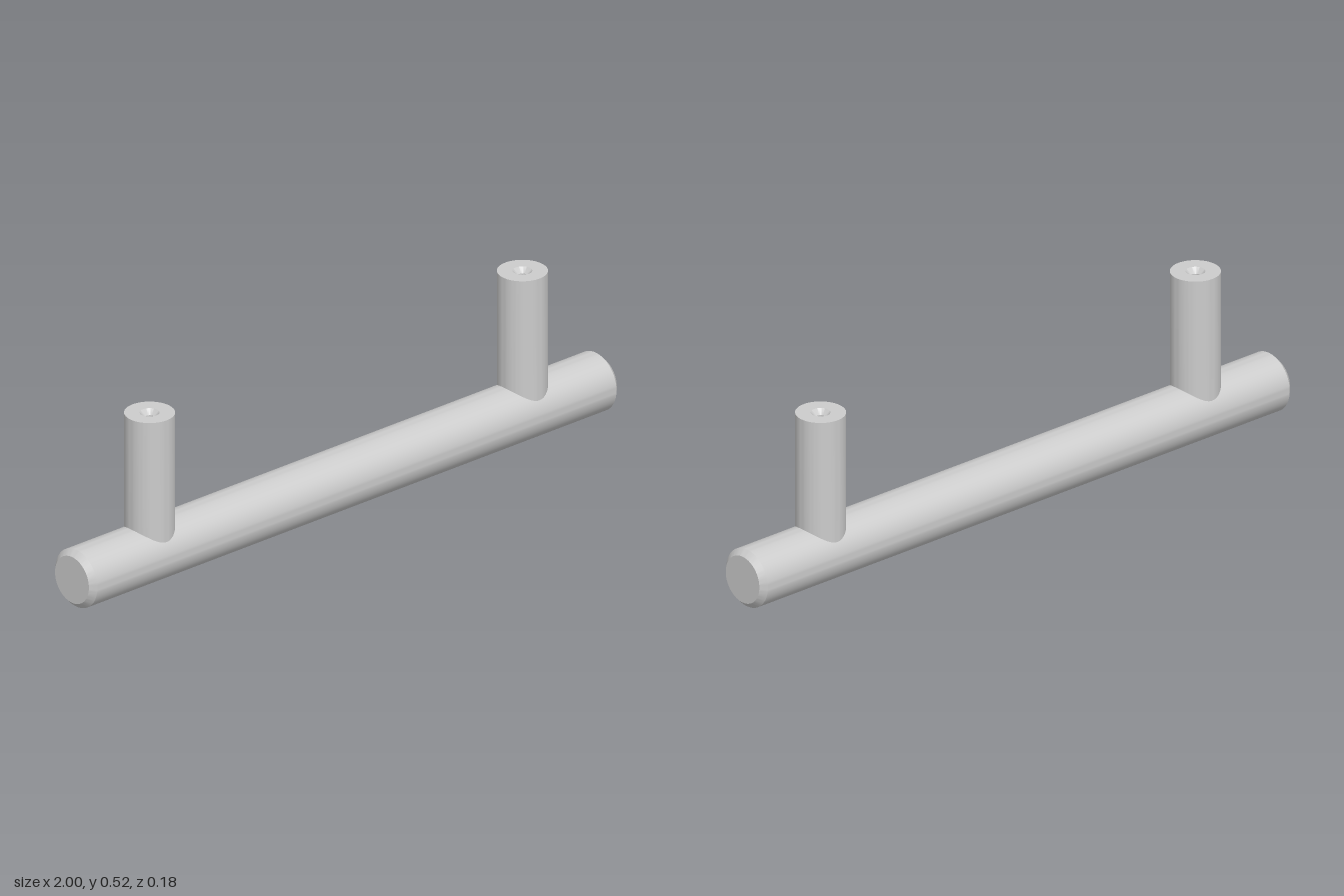
import * as THREE from 'three';
import { toCreasedNormals } from 'three/addons/utils/BufferGeometryUtils.js';

const BAR_R = 0.088, CHAMFER = 0.017, POST_R = 0.072, POST_X = 0.706, TOP = 0.516;

// Revolve a profile of [radius, height] pairs, listed from bottom to top
function lathe(profile) {
  return new THREE.LatheGeometry(profile.map(([r, y]) => new THREE.Vector2(r, y)), 72);
}

export function createModel() {
  const model = new THREE.Group();
  model.name = 'barHandle';
  const material = new THREE.MeshStandardMaterial({ color: 0xcccccc });

  // Horizontal grip with chamfered ends
  const gripGeometry = lathe([
    [0, -1], [BAR_R - CHAMFER, -1], [BAR_R, -1 + CHAMFER],
    [BAR_R, 1 - CHAMFER], [BAR_R - CHAMFER, 1], [0, 1],
  ]);
  gripGeometry.rotateZ(-Math.PI / 2);
  const grip = new THREE.Mesh(toCreasedNormals(gripGeometry, 0.5), material);
  grip.name = 'gripBar';
  grip.position.y = BAR_R;
  model.add(grip);

  // Mounting post: outer wall, flat top, countersink, then a blind screw hole
  const postGeometry = lathe([
    [POST_R, 0], [POST_R, TOP], [0.028, TOP], [0.013, TOP - 0.015],
    [0.013, TOP - 0.15], [0, TOP - 0.158],
  ]);
  // Shape the lower rim to sit on the round grip
  const pos = postGeometry.attributes.position;
  for (let i = 0; i < pos.count; i++) {
    if (pos.getY(i) === 0) {
      const z = pos.getZ(i);
      pos.setY(i, BAR_R + Math.sqrt(BAR_R * BAR_R - z * z) - 0.002);
    }
  }
  const creasedPost = toCreasedNormals(postGeometry, 0.5);
  for (const side of [-1, 1]) {
    const post = new THREE.Mesh(creasedPost, material);
    post.name = side > 0 ? 'leftPost' : 'rightPost';
    post.position.x = side * POST_X;
    model.add(post);
  }
  return model;
}
